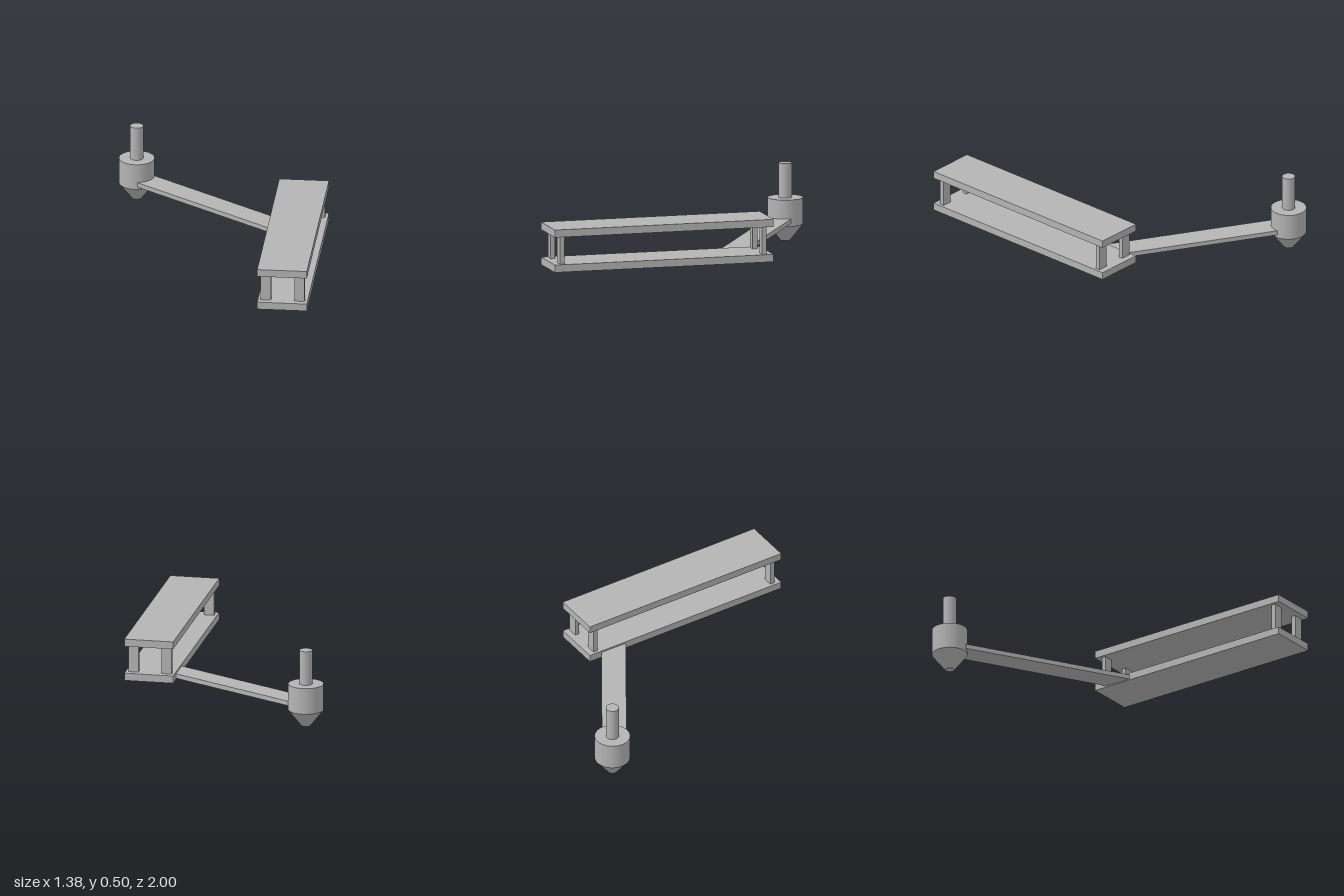
import * as THREE from 'three';

export function createModel() {
  const model = new THREE.Group();
  const grey = new THREE.MeshStandardMaterial({ color: 0xb4b4b4 });
  grey.name = 'grey';

  const add = (parent, name, geometry, x, y, z) => {
    const mesh = new THREE.Mesh(geometry, grey);
    mesh.name = name;
    mesh.position.set(x, y, z);
    parent.add(mesh);
    return mesh;
  };

  // Long frame: two plates held apart by four corner posts
  const frame = new THREE.Group();
  frame.name = 'frame';
  frame.position.set(0.53, 0, 0.279);
  model.add(frame);
  const plate = new THREE.BoxGeometry(0.316, 0.048, 1.442);
  add(frame, 'bottomPlate', plate, 0, 0.114, 0);
  add(frame, 'topPlate', plate, 0, 0.339, 0);
  const post = new THREE.BoxGeometry(0.065, 0.18, 0.03);
  for (const sx of [-1, 1])
    for (const sz of [-1, 1])
      add(frame, 'post', post, sx * 0.107, 0.2265, sz * 0.666);

  // Flat arm sloping from the bottom plate up to the drum
  const start = new THREE.Vector3(0.47, 0.109, -0.201);
  const end = new THREE.Vector3(-0.521, 0.1385, -0.835);
  const arm = add(model, 'arm', new THREE.BoxGeometry(0.156, 0.03, start.distanceTo(end)), 0, 0, 0);
  arm.position.addVectors(start, end).multiplyScalar(0.5);
  arm.lookAt(end);

  // Drum with a stem on top and a blunt cone below
  const drum = new THREE.Group();
  drum.name = 'drumUnit';
  drum.position.set(-0.578, 0, -0.886);
  model.add(drum);
  const round = (name, rTop, rBottom, y0, y1) =>
    add(drum, name, new THREE.CylinderGeometry(rTop, rBottom, y1 - y0, 32), 0, (y0 + y1) / 2, 0);
  round('cone', 0.113, 0.03, 0, 0.105);
  round('drum', 0.113, 0.113, 0.105, 0.275);
  round('stem', 0.042, 0.042, 0.275, 0.497);

  return model;
}
